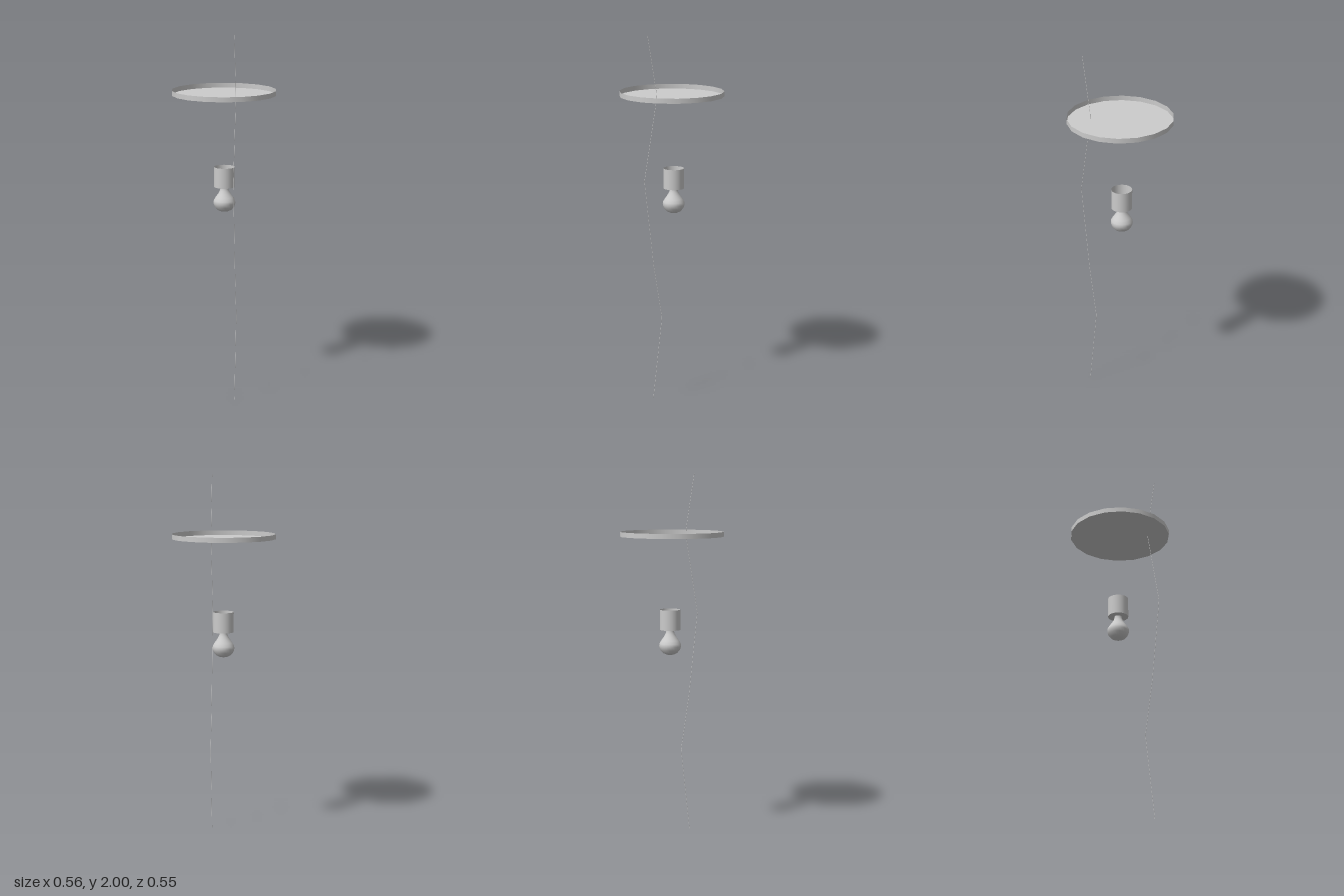
import * as THREE from 'three';

export function createModel() {
  const model = new THREE.Group();
  const grey = new THREE.MeshStandardMaterial({ color: 0xcccccc, side: THREE.DoubleSide });
  const add = (parent, name, geometry, y = 0) => {
    const mesh = new THREE.Mesh(geometry, grey);
    mesh.name = name;
    mesh.position.y = y;
    parent.add(mesh);
  };

  // Open-topped cup: a thin wall standing on a downward-facing floor
  const addCup = (parent, name, radius, height, sides, bottom) => {
    add(parent, `${name}Wall`,
      new THREE.CylinderGeometry(radius, radius, height, sides, 1, true, Math.PI / 2), bottom + height / 2);
    add(parent, `${name}Floor`, new THREE.CircleGeometry(radius, sides).rotateX(Math.PI / 2), bottom);
  };

  // Shallow eighteen-sided ceiling plate, corners on the x axis
  addCup(model, 'ceilingPlate', 0.28, 0.026, 18, 1.665);

  // Lamp, set slightly behind the centre of the plate
  const lamp = new THREE.Group();
  lamp.name = 'lamp';
  lamp.position.z = -0.011;
  model.add(lamp);
  addCup(lamp, 'socket', 0.056, 0.11, 24, 1.161);

  // Pear-shaped bulb hanging from the socket
  const bulbProfile = [
    [0, 1.022], [0.022, 1.026], [0.04, 1.035], [0.054, 1.052], [0.06, 1.071],
    [0.058, 1.086], [0.048, 1.103], [0.035, 1.121], [0.025, 1.139], [0.021, 1.153], [0.02, 1.17],
  ].map(([r, y]) => new THREE.Vector2(r, y));
  add(lamp, 'bulb', new THREE.LatheGeometry(bulbProfile, 24));

  // Hair-thin pull cord with gentle kinks
  const cordPath = new THREE.CurvePath();
  const cordPoints = [[0.183, 2], [0.13, 1.68], [0.205, 1.235], [0.153, 0.77], [0.104, 0.465], [0.158, 0]]
    .map(([z, y]) => new THREE.Vector3(0.087, y, z));
  for (let i = 1; i < cordPoints.length; i++) {
    cordPath.add(new THREE.LineCurve3(cordPoints[i - 1], cordPoints[i]));
  }
  add(model, 'pullCord', new THREE.TubeGeometry(cordPath, 60, 0.001, 6));

  return model;
}
